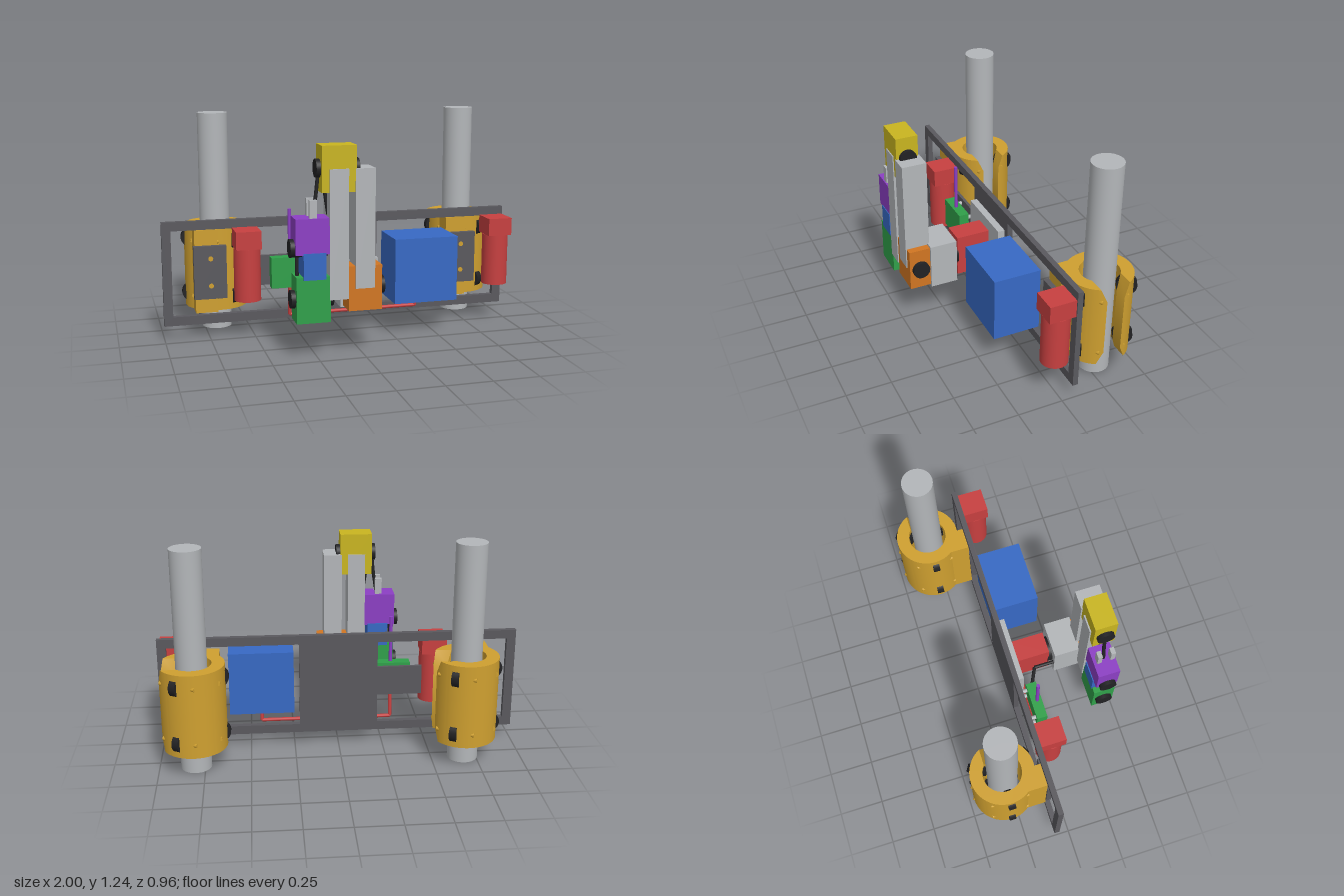
import * as THREE from 'three';
import { toCreasedNormals } from 'three/addons/utils/BufferGeometryUtils.js';

const mat = (name, color) => {
  const m = new THREE.MeshStandardMaterial({ color });
  m.name = name;
  return m;
};

export function createModel() {
  const dark = mat('dark grey', 0x5a595e), steel = mat('light grey', 0xb3b6b9);
  const gold = mat('gold', 0xcfa030), red = mat('red', 0xc74040);
  const blue = mat('blue', 0x3769c4), purple = mat('purple', 0x8c3fc4);
  const green = mat('green', 0x30a04a), yellow = mat('yellow', 0xc9b520);
  const orange = mat('orange', 0xd17622), black = mat('black', 0x222224);

  const model = new THREE.Group();
  model.name = 'railCarriageWithArm';

  const add = (parent, name, geo, m) => {
    const mesh = new THREE.Mesh(geo, m);
    mesh.name = name;
    parent.add(mesh);
    return mesh;
  };
  // Box given by its extents on each axis
  const box = (name, m, [x0, x1], [y0, y1], [z0, z1], parent = model) => {
    const b = add(parent, name, new THREE.BoxGeometry(x1 - x0, y1 - y0, z1 - z0), m);
    b.position.set((x0 + x1) / 2, (y0 + y1) / 2, (z0 + z1) / 2);
    return b;
  };
  // Round rod between two points
  const rod = (name, m, p, q, r, parent = model, sides = 12) => {
    const a = new THREE.Vector3(...p), b = new THREE.Vector3(...q);
    const mesh = add(parent, name, new THREE.CylinderGeometry(r, r, a.distanceTo(b), sides), m);
    mesh.position.copy(a).add(b).multiplyScalar(0.5);
    mesh.quaternion.setFromUnitVectors(new THREE.Vector3(0, 1, 0), b.sub(a).normalize());
    return mesh;
  };
  const path = (name, m, pts, r) => {
    for (let i = 1; i < pts.length; i++) rod(name, m, pts[i - 1], pts[i], r);
  };

  // Frame plate with two windows
  const rect = (S, x0, x1, y0, y1) => {
    const s = new S();
    s.moveTo(x0, y0);
    s.lineTo(x1, y0);
    s.lineTo(x1, y1);
    s.lineTo(x0, y1);
    s.closePath();
    return s;
  };
  const plate = rect(THREE.Shape, -1, 1, 0.08, 0.665);
  plate.holes.push(rect(THREE.Path, -0.95, -0.22, 0.13, 0.615), rect(THREE.Path, 0.22, 0.95, 0.13, 0.615));
  add(model, 'framePlate', new THREE.ExtrudeGeometry(plate, { depth: 0.03, bevelEnabled: false }), dark)
    .position.z = -0.088;

  // Split sleeve whose mouth flares at both ends
  const R = 0.177, Ri = 0.107, H = 0.472;
  const sleeveGeometry = () => {
    const ao = Math.asin(0.05 / R), ai = Math.asin(0.05 / Ri);
    const s = new THREE.Shape();
    s.absarc(0, 0, R, ao, Math.PI * 2 - ao, false);
    s.absarc(0, 0, Ri, Math.PI * 2 - ai, ai, true);
    s.closePath();
    const geo = new THREE.ExtrudeGeometry(s, { depth: 3, steps: 3, bevelEnabled: false, curveSegments: 48 });
    const p = geo.attributes.position;
    const levels = [0, 0.075, H - 0.075, H];
    for (let i = 0; i < p.count; i++) {
      let x = p.getX(i), y = p.getY(i);
      const k = Math.round(p.getZ(i));
      if ((k === 0 || k === 3) && x > 0 && Math.abs(y) < 0.083) {
        const r = Math.hypot(x, y);
        y = Math.sign(y) * 0.083;
        x = Math.sqrt(r * r - y * y);
      }
      p.setXYZ(i, x, y, levels[k]);
    }
    geo.rotateX(-Math.PI / 2);
    return toCreasedNormals(geo, 0.5);
  };

  // Two poles, each with a sleeve, rollers and mounting plate
  for (const px of [-0.677, 0.8]) {
    const g = new THREE.Group();
    g.name = 'poleClamp';
    g.position.set(px, 0, -0.298);
    model.add(g);
    rod('pole', steel, [0, 0, 0], [0, 1.237, 0], 0.084, g, 48);
    add(g, 'sleeve', sleeveGeometry(), gold).position.y = 0.135;
    box('sleeveFoot', gold, [-0.143, -0.018], [0.135, 0.607], [0.104, 0.211], g);
    box('mountingPlate', dark, [-0.152, 0.03], [0.22, 0.52], [0.21, 0.24], g);
    for (const y of [0.295, 0.45]) rod('screw', gold, [-0.058, y, 0.238], [-0.058, y, 0.243], 0.014, g);
    for (const a of [1, 3, 5]) {
      for (const y of [0.21, 0.53]) {
        const w = new THREE.Group();
        w.name = 'roller';
        w.rotation.y = a * Math.PI / 3;
        g.add(w);
        rod('wheel', black, [0.141, y, -0.019], [0.141, y, 0.019], 0.055, w, 28);
        rod('axle', gold, [0.141, y, -0.107], [0.141, y, 0.107], 0.012, w);
      }
    }
  }

  // Drive motors
  for (const x of [-0.545, 0.925]) {
    box('motorHead', red, [x - 0.07, x + 0.07], [0.52, 0.62], [-0.057, 0.09]);
    rod('motorBody', red, [x, 0.225, 0.017], [x, 0.52, 0.017], 0.074, model, 40);
  }

  // Battery, control board and their wiring
  box('battery', blue, [0.25, 0.615], [0.19, 0.557], [-0.058, 0.207]);
  box('boardBracket', dark, [-0.475, -0.2], [0.285, 0.455], [-0.062, -0.045]);
  box('controlBoard', green, [-0.415, -0.2], [0.285, 0.457], [-0.01, 0.05]);
  for (const x of [-0.39, -0.225]) {
    for (const y of [0.32, 0.42]) rod('standoff', steel, [x, y, -0.047], [x, y, -0.008], 0.012);
  }
  rod('antenna', purple, [-0.307, 0.45, 0.024], [-0.307, 0.725, 0.024], 0.01);
  path('powerCable', red, [[-0.307, 0.29, 0.022], [-0.307, 0.12, 0.008], [0.435, 0.12, 0.008], [0.435, 0.2, 0.015]], 0.01);
  path('signalCable', black, [[-0.205, 0.37, 0.025], [-0.09, 0.37, 0.08], [-0.09, 0.37, 0.2]], 0.01);

  // Arm base
  box('armBasePlate', steel, [-0.19, 0.185], [0.185, 0.553], [-0.06, -0.018]);
  box('baseServo', red, [-0.064, 0.061], [0.25, 0.49], [-0.018, 0.175]);
  rod('baseServoDisc', black, [0, 0.37, 0.17], [0, 0.37, 0.2], 0.072, model, 32);
  box('shoulderBlock', steel, [-0.103, 0.103], [0.24, 0.5], [0.197, 0.352]);

  // Servo with a round horn at each end of its sideways axis
  const servo = (name, m, x0, x1, y0, y1, axisY) => {
    box(name, m, [x0, x1], [y0, y1], [0.348, 0.472]);
    rod(name + 'Disc', black, [x0 - 0.023, axisY, 0.41], [x1 + 0.023, axisY, 0.41], 0.048, model, 32);
  };
  servo('shoulderServo', orange, -0.09, 0.09, 0.25, 0.49, 0.37);
  servo('elbowServo', yellow, -0.232, -0.048, 0.88, 1.12, 1.0);
  servo('wristServo', green, -0.367, -0.187, 0.2, 0.445, 0.32);
  servo('gripperServo', purple, -0.37, -0.19, 0.562, 0.75, 0.59);

  // Arm links
  box('upperArm', steel, [-0.055, 0.05], [0.37, 1.0], [0.34, 0.478]);
  box('forearm', steel, [-0.192, -0.091], [0.318, 1.0], [0.34, 0.478]);
  box('wristLink', blue, [-0.33, -0.21], [0.43, 0.57], [0.342, 0.476]);

  // Gripper fingers and arm cables
  for (const z of [0.365, 0.44]) box('gripperFinger', steel, [-0.295, -0.256], [0.74, 0.843], [z, z + 0.025]);
  path('elbowCable', black, [[-0.268, 0.75, 0.41], [-0.25, 0.86, 0.41], [-0.235, 1.0, 0.41]], 0.01);
  rod('forearmCable', black, [-0.205, 0.89, 0.41], [-0.185, 0.76, 0.41], 0.01);
  rod('wristCable', black, [-0.352, 0.57, 0.41], [-0.352, 0.44, 0.41], 0.01);

  return model;
}
